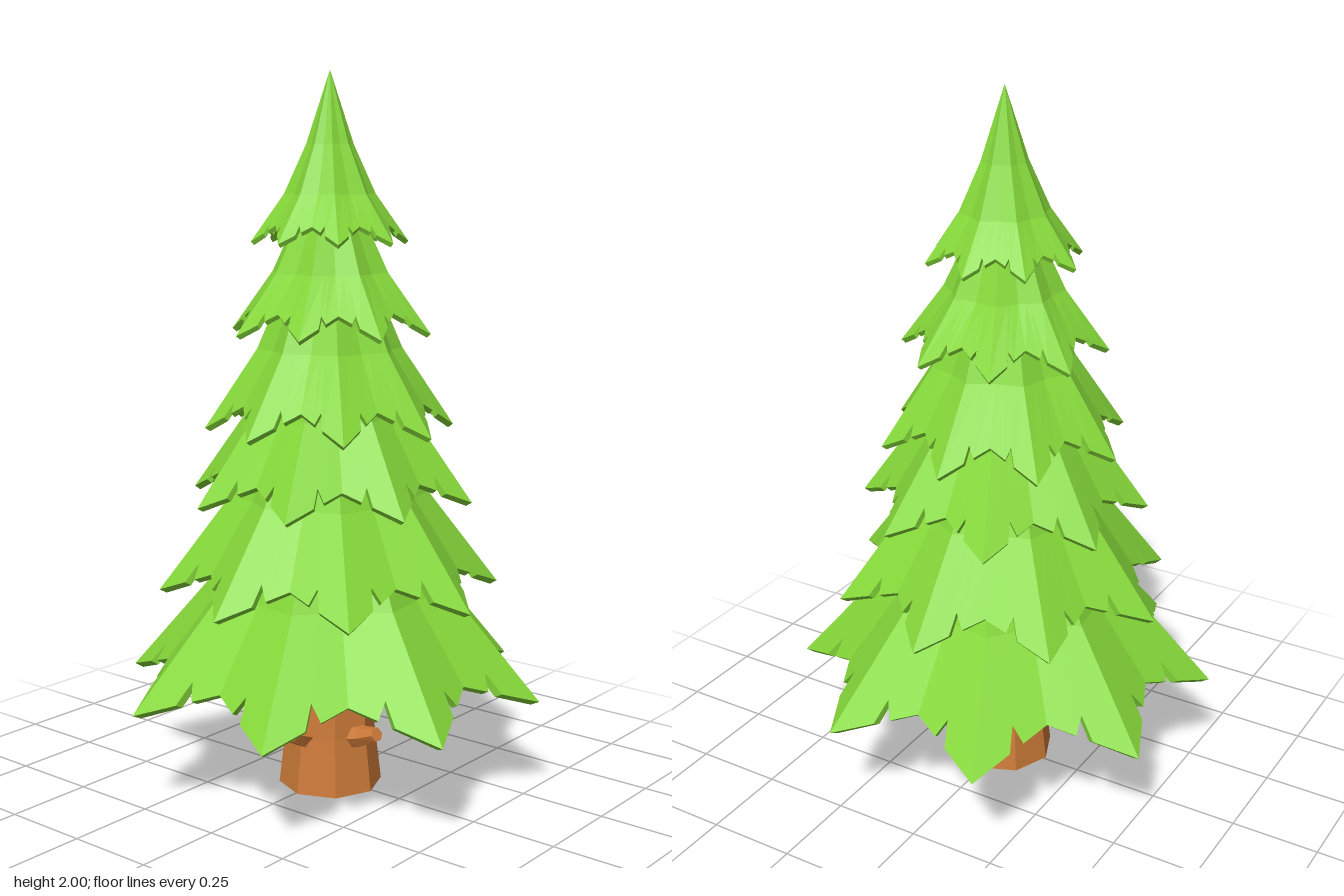
import * as THREE from 'three';

const GREEN = new THREE.MeshStandardMaterial({ color: 0x86d93a, flatShading: true });
const BARK = new THREE.MeshStandardMaterial({ color: 0xcc7a38, flatShading: true });
const STEP = Math.PI / 8; // angle from a tip to the next valley

const polar = (r, y, a) => new THREE.Vector3(r * Math.sin(a), y, r * Math.cos(a));

// Ridge profile of a tier: [radius / R, height / h], rim to apex
const PROFILE = [[1, 0], [0.58, 0.28], [0.3, 0.57], [0.0, 1]];

// One skirt of foliage: eight pointed boughs with a nick in each flank, as a thin hollow shell
function tier({ R, y, h, valley, turn }) {
  const columns = [];
  for (let k = 0; k < 8; k++) {
    const a = turn + k * 2 * STEP;
    // f runs from tip (0) to valley (1), nick is how deep the rim is cut
    const flank = (side) => [[0, 0], [0.5, 0], [0.54, 0.22], [0.68, 0], [1, 0]]
      .map(([f, nick]) => ({ f, nick, side }));
    const around = [...flank(1), ...flank(-1).slice(1, 4).reverse().map((c) => ({ ...c, next: true }))];
    for (const { f, nick, side, next } of around) {
      const tipAngle = next ? a + 2 * STEP : a;
      const outer = PROFILE.map(([pr, ph], i) => {
        const ridge = polar(pr * R, y + ph * h, tipAngle);
        const dip = i === 0
          ? polar(0.765 * R, valley, tipAngle + side * STEP)
          : polar(pr * R * 0.87, y + ph * h, tipAngle + side * STEP);
        return ridge.lerp(dip, f);
      });
      outer[0].lerp(outer[1], nick);
      // inner skin: slightly narrower and lower
      const inner = outer.map((p) => new THREE.Vector3(p.x * 0.96, p.y - 0.01, p.z * 0.96));
      columns.push([...inner.reverse(), ...outer]);
    }
  }
  const pos = [];
  columns.forEach((col, j) => {
    const nextCol = columns[(j + 1) % columns.length];
    for (let i = 0; i < col.length - 1; i++) {
      const [a, b, c, d] = [col[i], nextCol[i], nextCol[i + 1], col[i + 1]];
      for (const p of [a, b, c, a, c, d]) pos.push(p.x, p.y, p.z);
    }
  });
  const geo = new THREE.BufferGeometry();
  geo.setAttribute('position', new THREE.Float32BufferAttribute(pos, 3));
  geo.computeVertexNormals();
  return geo;
}

// Tapered stub that follows a bent path
function stub(points, r0, r1) {
  const curve = new THREE.QuadraticBezierCurve3(...points.map((p) => new THREE.Vector3(...p)));
  const geo = new THREE.CylinderGeometry(r1, r0, 1, 6, 2);
  const pos = geo.attributes.position;
  for (let i = 0; i < pos.count; i++) {
    const t = THREE.MathUtils.clamp(pos.getY(i) + 0.5, 0, 1);
    const dir = curve.getTangent(t);
    const side = new THREE.Vector3(0, 1, 0).cross(dir).normalize();
    const up = dir.clone().cross(side);
    const p = curve.getPoint(t).addScaledVector(up, -pos.getX(i)).addScaledVector(side, -pos.getZ(i));
    // keep the loop orientation of the cylinder
    pos.setXYZ(i, p.x, p.y, p.z);
  }
  geo.computeVertexNormals();
  return geo;
}

export function createModel() {
  const model = new THREE.Group();
  const add = (geo, mat, name) => {
    const mesh = new THREE.Mesh(geo, mat);
    mesh.name = name;
    model.add(mesh);
    return mesh;
  };

  // Eight-sided trunk with a flared foot
  const trunkProfile = [[0, 0], [0.147, 0], [0.128, 0.16], [0.118, 0.36], [0.1, 0.7], [0, 0.7]]
    .map(([r, y]) => new THREE.Vector2(r, y));
  add(new THREE.LatheGeometry(trunkProfile, 8), BARK, 'trunk').position.set(-0.008, 0, 0.008);

  // Broken branch stubs
  add(stub([[-0.08, 0.15, 0], [-0.18, 0.16, 0], [-0.222, 0.255, 0]], 0.05, 0.008), BARK, 'rightBranch');
  add(stub([[0.07, 0.15, -0.035], [0.16, 0.16, -0.035], [0.218, 0.212, -0.045]], 0.042, 0.02), BARK, 'leftBranch');
  add(stub([[-0.03, 0.155, 0.08], [-0.03, 0.165, 0.15], [-0.04, 0.188, 0.2]], 0.04, 0.02), BARK, 'frontBranch');

  // Foliage tiers, bottom to top, every other one turned by half a bough
  const tiers = [
    { R: 0.603, y: 0.288, h: 1.05, valley: 0.372 },
    { R: 0.48, y: 0.575, h: 0.95, valley: 0.65 },
    { R: 0.405, y: 0.838, h: 0.85, valley: 0.905 },
    { R: 0.347, y: 1.032, h: 0.78, valley: 1.105 },
    { R: 0.285, y: 1.297, h: 0.58, valley: 1.358 },
    { R: 0.216, y: 1.543, h: 0.457, valley: 1.588 },
  ];
  tiers.forEach((t, i) => add(tier({ ...t, turn: i % 2 ? 0 : STEP }), GREEN, `foliageTier${i + 1}`));
  return model;
}
